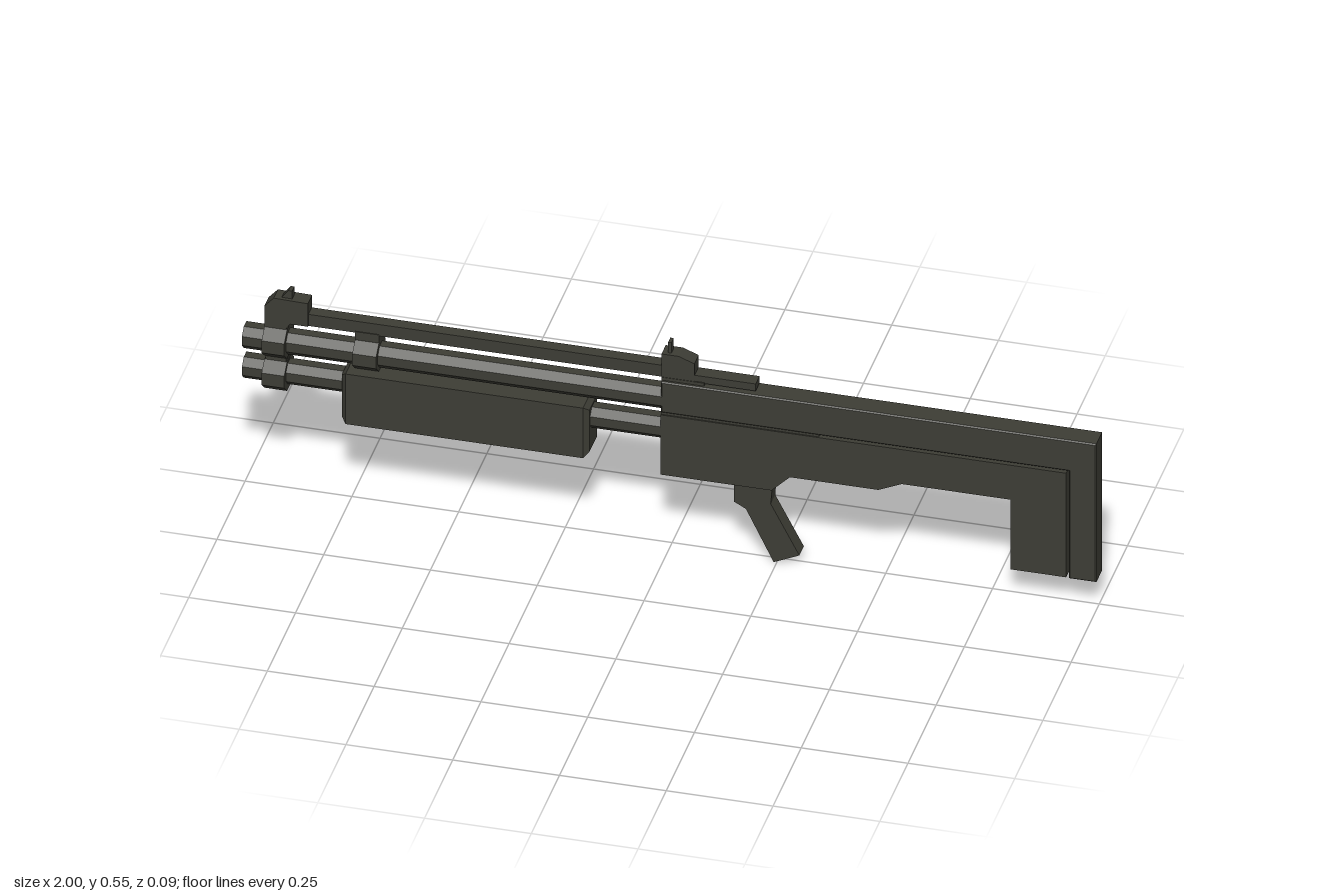
import * as THREE from 'three';

export function createModel() {
  const model = new THREE.Group();
  const metal = new THREE.MeshStandardMaterial({ color: 0x3d3d35 });
  metal.name = 'darkOlive';

  function add(name, geometry, x = 0, y = 0, z = 0) {
    const mesh = new THREE.Mesh(geometry, metal);
    mesh.name = name;
    mesh.position.set(x, y, z);
    model.add(mesh);
    return mesh;
  }

  // Side outline extruded across z, centred, with an optional chamfer kept inside the outline
  function plate(name, points, width, chamfer = 0) {
    const shape = new THREE.Shape(points.map(p => new THREE.Vector2(p[0], p[1])));
    const geometry = new THREE.ExtrudeGeometry(shape, {
      depth: width - 2 * chamfer, bevelEnabled: chamfer > 0, bevelSegments: 1,
      bevelSize: chamfer, bevelThickness: chamfer, bevelOffset: -chamfer,
    });
    geometry.translate(0, 0, -width / 2 + chamfer);
    return add(name, geometry);
  }

  // Box given by its limits
  function block(name, x0, x1, y0, y1, width) {
    return add(name, new THREE.BoxGeometry(x1 - x0, y1 - y0, width), (x0 + x1) / 2, (y0 + y1) / 2);
  }

  // Octagonal bar lying along x, flat sides up; given by its half height and half width
  function octagonBar(name, x0, x1, y, halfHeight, halfWidth) {
    const r = 1 / Math.cos(Math.PI / 8);
    const geometry = new THREE.CylinderGeometry(r, r, x1 - x0, 8).toNonIndexed();
    geometry.rotateY(Math.PI / 8);
    geometry.rotateZ(Math.PI / 2);
    geometry.scale(1, halfHeight, halfWidth);
    geometry.computeVertexNormals();
    return add(name, geometry, (x0 + x1) / 2, y);
  }

  // Upper receiver running back into the butt plate
  plate('upperReceiver', [
    [-0.02, 0.367], [0.936, 0.367], [0.936, 0.077], [1, 0.077], [1, 0.45], [-0.02, 0.45],
  ], 0.056, 0.003);

  // Lower receiver and stock, a narrow seam below the upper part
  plate('lowerReceiver', [
    [-0.02, 0.361], [-0.02, 0.2], [0.24, 0.2], [0.283, 0.243], [0.49, 0.243],
    [0.545, 0.268], [0.8, 0.268], [0.8, 0.08], [0.93, 0.08], [0.93, 0.361],
  ], 0.056);
  block('seamFiller', -0.02, 0.35, 0.36, 0.368, 0.05);

  // Angled grip
  plate('grip', [
    [0.15, 0.21], [0.15, 0.15], [0.178, 0.135], [0.243, 0.002],
    [0.303, 0.03], [0.236, 0.158], [0.24, 0.21],
  ], 0.04);

  // Barrel and tube below it
  octagonBar('barrel', -1, 0, 0.398, 0.029, 0.028);
  octagonBar('magazineTube', -1, 0, 0.317, 0.028, 0.028);

  // Sliding forend: a block whose ends taper in
  const forend = new THREE.BoxGeometry(0.58, 0.135, 0.09, 3, 1, 1);
  const pos = forend.attributes.position;
  for (let i = 0; i < pos.count; i++) {
    const x = pos.getX(i);
    if (Math.abs(x) > 0.2) {
      pos.setY(i, pos.getY(i) * 0.83);
      pos.setZ(i, pos.getZ(i) * 0.72);
    } else {
      pos.setX(i, Math.sign(x) * 0.278);
    }
  }
  const forendFlat = forend.toNonIndexed();
  forendFlat.computeVertexNormals();
  add('forend', forendFlat, -0.475, 0.293);

  // Clamps around barrel and tube
  octagonBar('upperClamp', -0.95, -0.897, 0.4, 0.039, 0.043);
  octagonBar('lowerClamp', -0.95, -0.897, 0.313, 0.039, 0.043);
  block('clampBridge', -0.948, -0.899, 0.33, 0.46, 0.036);
  octagonBar('barrelBand', -0.738, -0.682, 0.4, 0.038, 0.042);
  block('railPost', -0.738, -0.682, 0.42, 0.46, 0.034);

  // Top rail
  block('topRail', -0.9, 0.0, 0.456, 0.487, 0.03);
  block('rearRail', 0, 0.2, 0.455, 0.474, 0.034);
  block('rearRailFoot', -0.02, 0.08, 0.44, 0.458, 0.04);

  // Front sight
  plate('frontSight', [
    [-0.95, 0.44], [-0.9, 0.44], [-0.89, 0.456], [-0.848, 0.456], [-0.848, 0.518],
    [-0.928, 0.52], [-0.95, 0.495],
  ], 0.038);
  plate('frontSightBlade', [
    [-0.915, 0.515], [-0.887, 0.515], [-0.887, 0.54], [-0.896, 0.54],
  ], 0.02);

  // Rear sight
  plate('rearSight', [
    [-0.02, 0.45], [0.057, 0.45], [0.057, 0.506], [0.02, 0.52], [-0.02, 0.52],
  ], 0.038);
  block('rearSightBlade', -0.007, 0.001, 0.515, 0.548, 0.02);

  return model;
}
